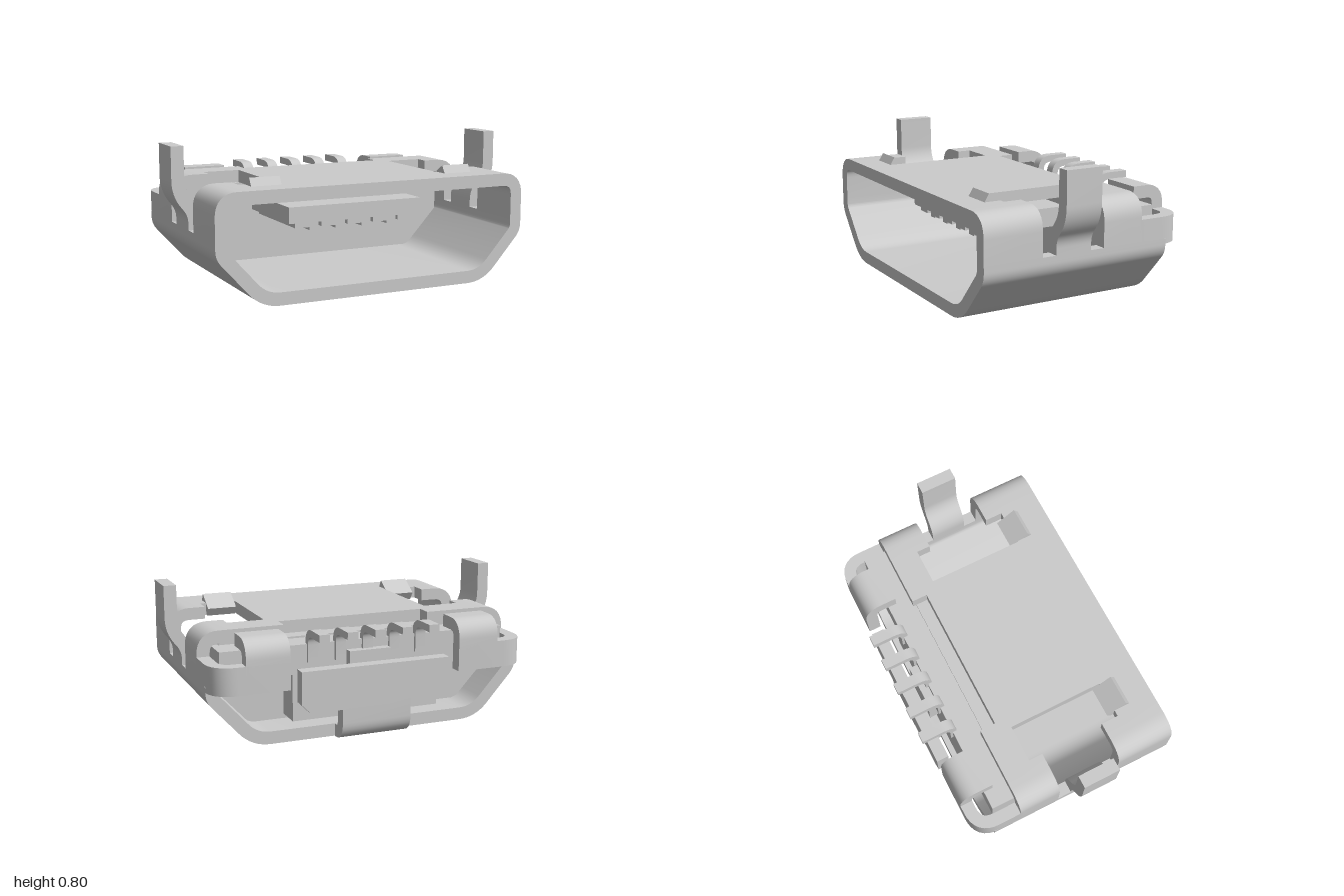
import * as THREE from 'three';
import { toCreasedNormals } from 'three/addons/utils/BufferGeometryUtils.js';

const material = new THREE.MeshStandardMaterial({ color: 0xcccccc });
const T = 0.07; // sheet metal thickness

// Polyline with its inner corners rounded
function rounded(pts, r) {
  const p = pts.map(([x, y]) => new THREE.Vector2(x, y));
  const out = [p[0]];
  for (let i = 1; i < p.length - 1; i++) {
    const a = p[i - 1].clone().sub(p[i]), b = p[i + 1].clone().sub(p[i]);
    const d = Math.min(r, a.length() * 0.49, b.length() * 0.49);
    const from = p[i].clone().addScaledVector(a.normalize(), d);
    const to = p[i].clone().addScaledVector(b.normalize(), d);
    out.push(...new THREE.QuadraticBezierCurve(from, p[i], to).getPoints(8));
  }
  out.push(p[p.length - 1]);
  return out;
}

// Outline of a strip of constant thickness along a centre line
function stripShape(pts, r, t) {
  const p = rounded(pts, r);
  const normal = (a, b) => new THREE.Vector2(a.y - b.y, b.x - a.x).normalize();
  const left = [], right = [];
  p.forEach((q, i) => {
    const n0 = normal(p[Math.max(i - 1, 0)], p[Math.max(i, 1)]);
    const last = p.length - 1;
    const n1 = normal(p[Math.min(i, last - 1)], p[Math.min(i + 1, last)]);
    const m = n0.clone().add(n1).normalize();
    m.multiplyScalar(t / 2 / m.dot(n0));
    left.push(q.clone().add(m));
    right.unshift(q.clone().sub(m));
  });
  return new THREE.Shape([...left, ...right]);
}

// Extrude a shape between a and b along an axis
function extrude(shape, axis, a, b) {
  const lo = Math.min(a, b);
  const g = new THREE.ExtrudeGeometry(shape, { depth: Math.abs(b - a), bevelEnabled: false });
  g.translate(0, 0, lo);
  if (axis === 'x') g.rotateY(Math.PI / 2);
  if (axis === 'y') g.rotateX(-Math.PI / 2);
  return toCreasedNormals(g, 0.6);
}

export function createModel() {
  const model = new THREE.Group();
  const add = (name, geometry) => {
    const mesh = new THREE.Mesh(geometry, material);
    mesh.name = name;
    model.add(mesh);
    return mesh;
  };
  const box = (name, x0, x1, y0, y1, z0, z1) =>
    add(name, new THREE.BoxGeometry(Math.abs(x1 - x0), y1 - y0, z1 - z0))
      .position.set((x0 + x1) / 2, (y0 + y1) / 2, (z0 + z1) / 2);
  // Bent strips: path in xy run along z, path in zy run along x, path in xz run along y
  const alongZ = (name, pts, r, z0, z1) => add(name, extrude(stripShape(pts, r, T), 'z', z0, z1));
  const alongX = (name, pts, r, x0, x1, t = T) =>
    add(name, extrude(stripShape(pts.map(([z, y]) => [-z, y]), r, t), 'x', x0, x1));
  const alongY = (name, pts, r, y0, y1) =>
    add(name, extrude(stripShape(pts.map(([x, z]) => [x, -z]), r, T), 'y', y0, y1));

  // Shell floor, slanted sides and lower walls
  alongZ('shellLower', [[-0.88, 0.35], [-0.88, 0.285], [-0.655, 0.035],
    [0.655, 0.035], [0.88, 0.285], [0.88, 0.35]], 0.09, -0.48, 0.625);

  // Shell top: front strip, centre plate and rear lip
  box('shellTopFront', -0.72, 0.72, 0.535, 0.605, 0.39, 0.625);
  box('shellTopPlate', -0.49, 0.49, 0.535, 0.605, -0.16, 0.39);
  box('shellTopRearLip', -0.43, 0.43, 0.535, 0.605, -0.23, -0.16);

  for (const s of [1, -1]) {
    const m = (pts) => pts.map(([x, y]) => [s * x, y]);
    // Upper walls curling over into the top, separated by the slots
    const corner = m([[0.88, 0.34], [0.88, 0.57], [0.7, 0.57]]);
    alongZ('shellFrontCorner', corner, 0.13, 0.29, 0.625);
    alongZ('shellRearCorner', corner, 0.13, -0.32, -0.08);
    box('shellRearBand', s * 0.43, s * 0.72, 0.535, 0.605, -0.32, -0.16);

    // Upright mounting leg
    alongZ('mountingLeg', m([[0.88, 0.33], [0.88, 0.44], [0.968, 0.55], [0.968, 0.8]]), 0.07, 0, 0.21);

    // Side strap bent round the back, with a foot folded up and forward
    alongY('rearStrap', m([[0.88, -0.31], [0.88, -0.56], [0.49, -0.56]]), 0.11, 0.32, 0.47);
    alongX('rearFoot', [[-0.56, 0.42], [-0.56, 0.57], [-0.4, 0.57]], 0.12, s * 0.49, s * 0.73);

    // Raised spring tab at the front
    const tab = add('springTab', new THREE.BoxGeometry(0.17, 0.055, 0.13));
    tab.position.set(s * 0.58, 0.59, 0.415);
    tab.rotation.x = -0.56;

    // Upper shoulder of the insulator
    box('insulatorShoulder', s * 0.42, s * 0.83, 0.36, 0.52, -0.45, -0.28);
  }

  // Back flap: narrow stem bent up from the floor, carrying a wide plate
  alongX('backFlapStem', [[-0.42, 0.035], [-0.56, 0.035], [-0.56, 0.22]], 0.13, -0.2, 0.2);
  const flap = new THREE.Shape([[-0.43, 0.23], [-0.38, 0.18], [0.38, 0.18], [0.43, 0.23],
    [0.43, 0.41], [-0.43, 0.41]].map(([x, y]) => new THREE.Vector2(x, y)));
  add('backFlapPlate', extrude(flap, 'z', -0.595, -0.525));

  // Insulator filling the rear of the shell
  const half = [[0.63, 0.075], [0.83, 0.29], [0.83, 0.48], [0.78, 0.53]];
  const section = [...half, ...half.map(([x, y]) => [-x, y]).reverse()];
  const wall = new THREE.Shape(section.map(([x, y]) => new THREE.Vector2(x, y)));
  add('insulatorWall', extrude(wall, 'z', -0.3, -0.17));
  box('insulatorBlock', -0.43, 0.43, 0.1, 0.52, -0.45, -0.28);
  box('insulatorRearKey', -0.12, 0.12, 0.2, 0.47, -0.5, -0.44);

  // Tongue with ribs between the contacts
  box('tongue', -0.405, 0.405, 0.37, 0.46, -0.2, 0.37);
  for (const x of [-0.24, -0.08, 0.08, 0.24]) box('tongueRib', x - 0.028, x + 0.028, 0.32, 0.375, -0.2, 0.33);

  // Five contacts under the tongue and their bent solder pins
  for (let i = -2; i <= 2; i++) {
    const x = i * 0.158;
    box('contact', x - 0.045, x + 0.045, 0.34, 0.375, -0.2, 0.35);
    alongX('solderPin', [[-0.63, 0.587], [-0.445, 0.587], [-0.445, 0.42]], 0.07, x - 0.03, x + 0.03, 0.04);
  }
  return model;
}
